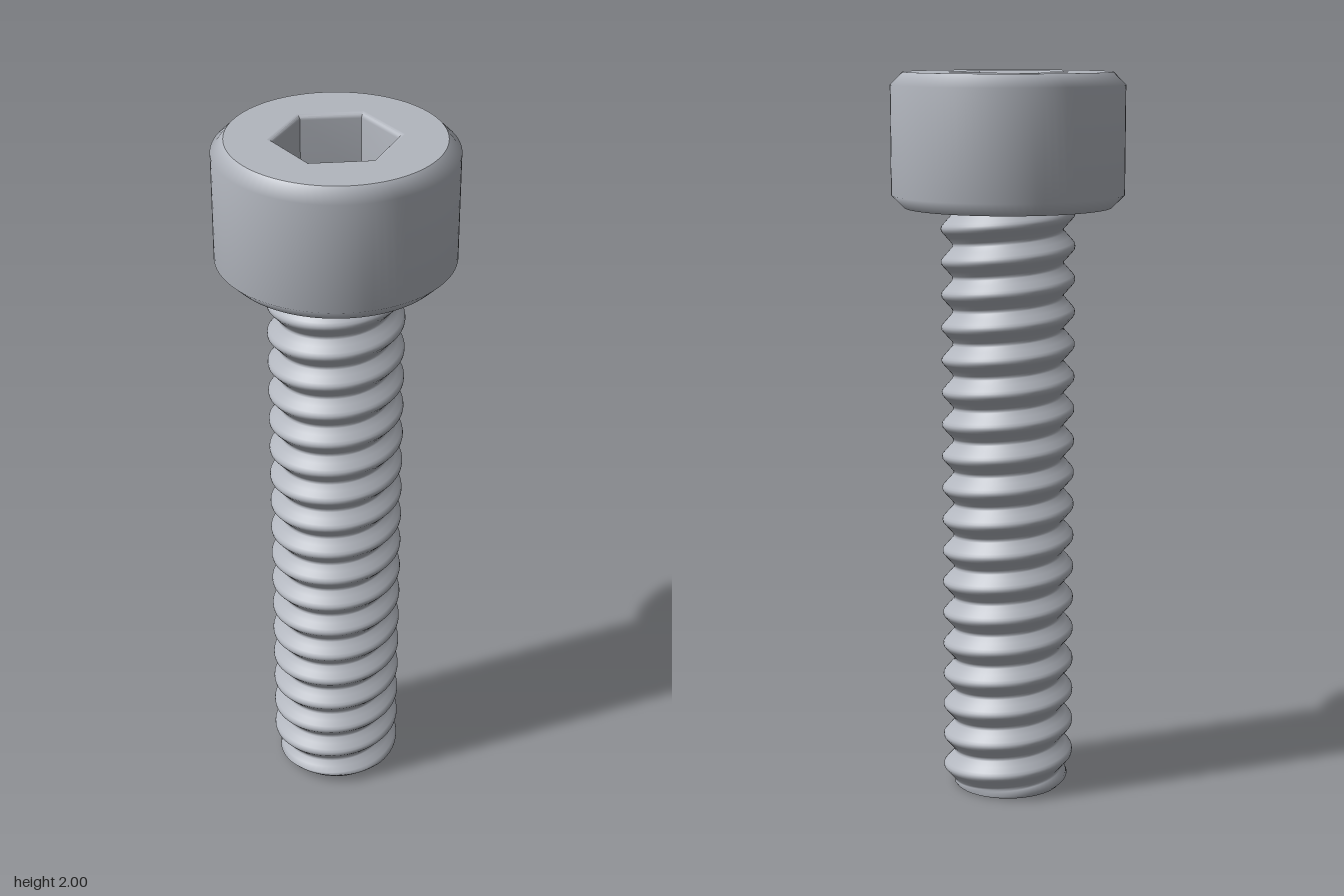
import * as THREE from 'three';
import { mergeVertices, toCreasedNormals } from 'three/addons/utils/BufferGeometryUtils.js';

const HEAD_BASE = 1.64, TOP = 2, HEAD_R = 0.316, FACE_R = 0.282;
const PITCH = 0.09, CREST_Y = 0.035;
const v2 = (x, y) => new THREE.Vector2(x, y);

// Thread radius at a height and angle: rounded crest, V root, chamfered tip
function threadRadius(y, angle) {
  const turns = (y - CREST_Y) / PITCH - angle / (Math.PI * 2);
  const d = Math.abs(turns - Math.round(turns));
  const profile = [[0, 0.183], [0.07, 0.182], [0.14, 0.177], [0.44, 0.153], [0.5, 0.152]];
  let r = 0.152;
  for (let i = 1; i < profile.length; i++) {
    const [d0, r0] = profile[i - 1], [d1, r1] = profile[i];
    if (d <= d1) { r = r0 + (r1 - r0) * (d - d0) / (d1 - d0); break; }
  }
  return Math.min(r, 0.15 + y);
}

// Grid whose rows climb along a right-handed helix, clamped to the shank length
function threadGeometry() {
  const steps = [0, 0.07, 0.14, 0.29, 0.44, 0.5, 0.56, 0.71, 0.86, 0.93];
  const sides = 64, cols = sides + 1, positions = [], index = [];
  const firstTurn = -2, lastTurn = Math.ceil(HEAD_BASE / PITCH) + 1;
  let rows = 0;
  for (let turn = firstTurn; turn <= lastTurn; turn++) {
    for (const s of steps) {
      for (let j = 0; j < cols; j++) {
        const a = j / sides * Math.PI * 2;
        const y = THREE.MathUtils.clamp(CREST_Y + (turn + s + j / sides) * PITCH, 0, HEAD_BASE);
        const r = threadRadius(y, a);
        positions.push(r * Math.cos(a), y, -r * Math.sin(a));
      }
      rows++;
    }
  }
  for (let i = 0; i < rows - 1; i++) {
    for (let j = 0; j < sides; j++) {
      const a = i * cols + j, b = a + 1, c = a + cols, d = c + 1;
      index.push(a, b, d, a, d, c);
    }
  }
  let geo = new THREE.BufferGeometry();
  geo.setAttribute('position', new THREE.Float32BufferAttribute(positions, 3));
  geo.setIndex(index);
  geo = mergeVertices(geo, 1e-5);
  geo.computeVertexNormals();
  return geo;
}

// Six-sided recess with a rounded rim
function socketGeometry(apothem, round, depth) {
  const toCorner = 1 / Math.cos(Math.PI / 6), points = [];
  for (let k = 0; k <= 6; k++) {
    const a = k / 6 * Math.PI / 2;
    points.push(v2((apothem + round * (1 - Math.sin(a))) * toCorner, TOP - round * (1 - Math.cos(a))));
  }
  points.push(v2(apothem * toCorner, TOP - depth), v2(0, TOP - depth));
  return toCreasedNormals(new THREE.LatheGeometry(points, 6, Math.PI / 2), 0.5);
}

export function createModel() {
  const steel = new THREE.MeshStandardMaterial({ color: 0xb2b6be });
  steel.name = 'steel grey';
  const group = new THREE.Group();
  group.name = 'socketHeadScrew';
  const add = (name, geometry) => {
    const mesh = new THREE.Mesh(geometry, steel);
    mesh.name = name;
    group.add(mesh);
    return mesh;
  };

  // Head wall with chamfers at both ends
  const chamfer = HEAD_R - FACE_R;
  add('headWall', new THREE.LatheGeometry([
    v2(FACE_R, HEAD_BASE), v2(HEAD_R, HEAD_BASE + chamfer),
    v2(HEAD_R, TOP - chamfer), v2(FACE_R, TOP),
  ], 96));

  // Flat top face with a hexagonal opening
  const apothem = 0.137, round = 0.013;
  const face = new THREE.Shape().absarc(0, 0, FACE_R, 0, Math.PI * 2);
  const corner = (apothem + round) / Math.cos(Math.PI / 6);
  const hex = [];
  for (let i = 0; i < 6; i++) hex.push(v2(corner * Math.cos(i * Math.PI / 3), corner * Math.sin(i * Math.PI / 3)));
  face.holes.push(new THREE.Path(hex));
  add('headTop', new THREE.ShapeGeometry(face, 96).rotateX(-Math.PI / 2).translate(0, TOP, 0));
  add('hexSocket', socketGeometry(apothem, round, 0.18));

  // Underside of the head
  add('headUnderside', new THREE.CircleGeometry(FACE_R, 96).rotateX(Math.PI / 2).translate(0, HEAD_BASE, 0));

  // Threaded shank and its flat tip
  add('threadedShank', threadGeometry());
  add('shankTip', new THREE.CircleGeometry(0.15, 64).rotateX(Math.PI / 2));

  return group;
}
